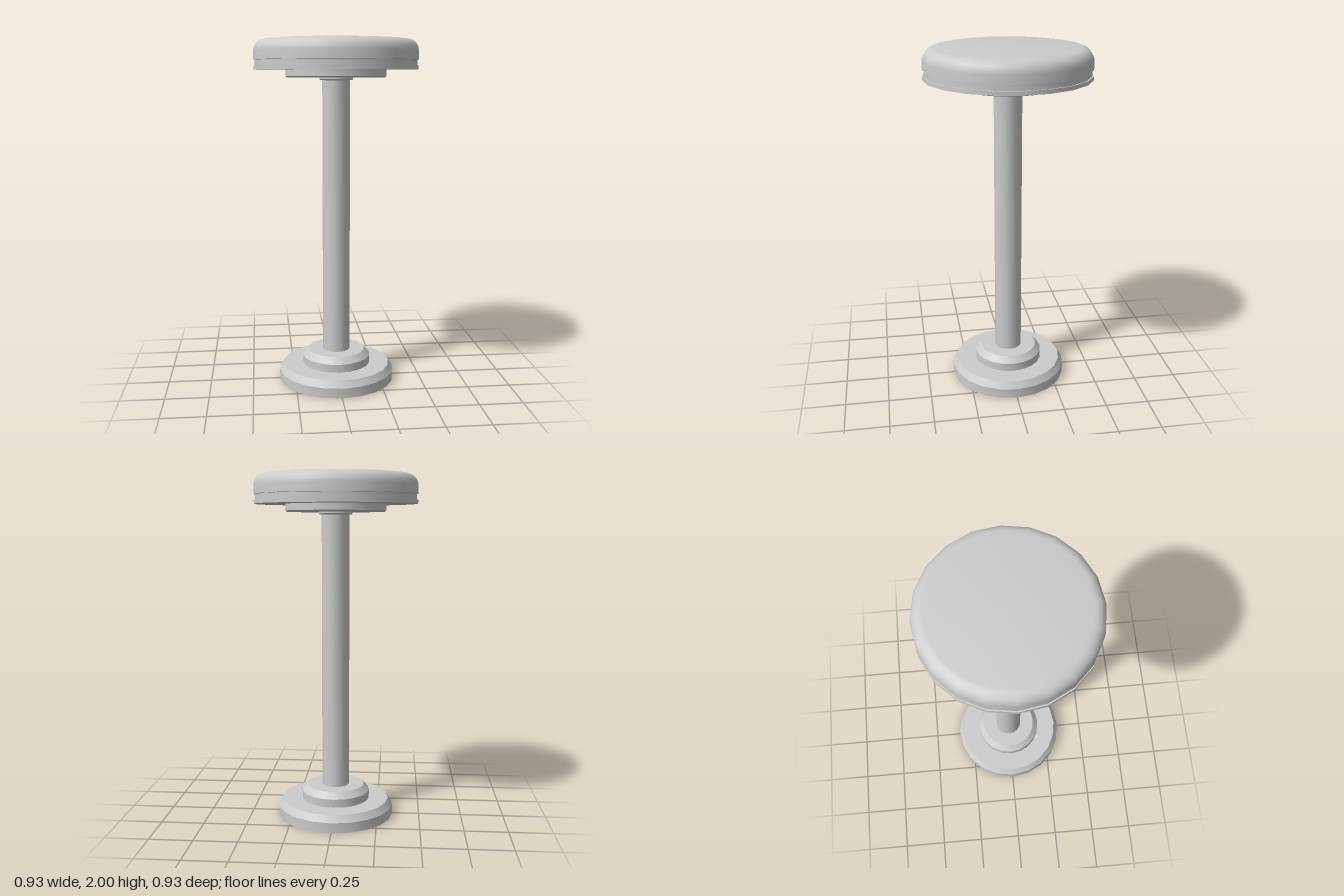
import * as THREE from 'three';
import { toCreasedNormals } from 'three/addons/utils/BufferGeometryUtils.js';

const SIDES = 20;
const material = new THREE.MeshStandardMaterial({ color: 0xcccccc });

// Turned part from [radius, height] points, listed bottom to top
function turned(name, profile) {
  const points = profile.map(([r, y]) => new THREE.Vector2(r, y));
  const geometry = toCreasedNormals(new THREE.LatheGeometry(points, SIDES), 0.5);
  const mesh = new THREE.Mesh(geometry, material);
  mesh.name = name;
  return mesh;
}

export function createModel() {
  const stool = new THREE.Group();
  stool.name = 'barStool';

  // Stepped foot with chamfered upper edges
  stool.add(turned('base', [[0, 0], [0.34, 0], [0.34, 0.058], [0.315, 0.097], [0, 0.097]]));
  stool.add(turned('baseStep', [[0, 0.097], [0.2, 0.097], [0.2, 0.145], [0.168, 0.18], [0, 0.18]]));

  // Column and the collar at its top
  stool.add(turned('column', [[0.08, 0.18], [0.08, 1.79]]));
  stool.add(turned('collar', [[0, 1.772], [0.09, 1.772], [0.097, 1.779], [0.097, 1.79]]));

  // Mounting plate under the seat
  stool.add(turned('mountingPlate', [[0, 1.788], [0.28, 1.788], [0.288, 1.795], [0.288, 1.832]]));

  // Seat trim: lower band and recessed groove
  stool.add(turned('seatTrim', [
    [0, 1.832], [0.467, 1.832], [0.467, 1.854], [0.459, 1.854], [0.459, 1.886],
  ]));

  // Cushion with a rounded shoulder
  const cushion = [[0.455, 1.884], [0.467, 1.886]];
  const round = 0.065;
  for (let i = 0; i <= 5; i++) {
    const a = (i / 5) * Math.PI / 2;
    cushion.push([0.467 - round + round * Math.cos(a), 2 - round + round * Math.sin(a)]);
  }
  cushion.push([0, 2]);
  stool.add(turned('cushion', cushion));

  return stool;
}
